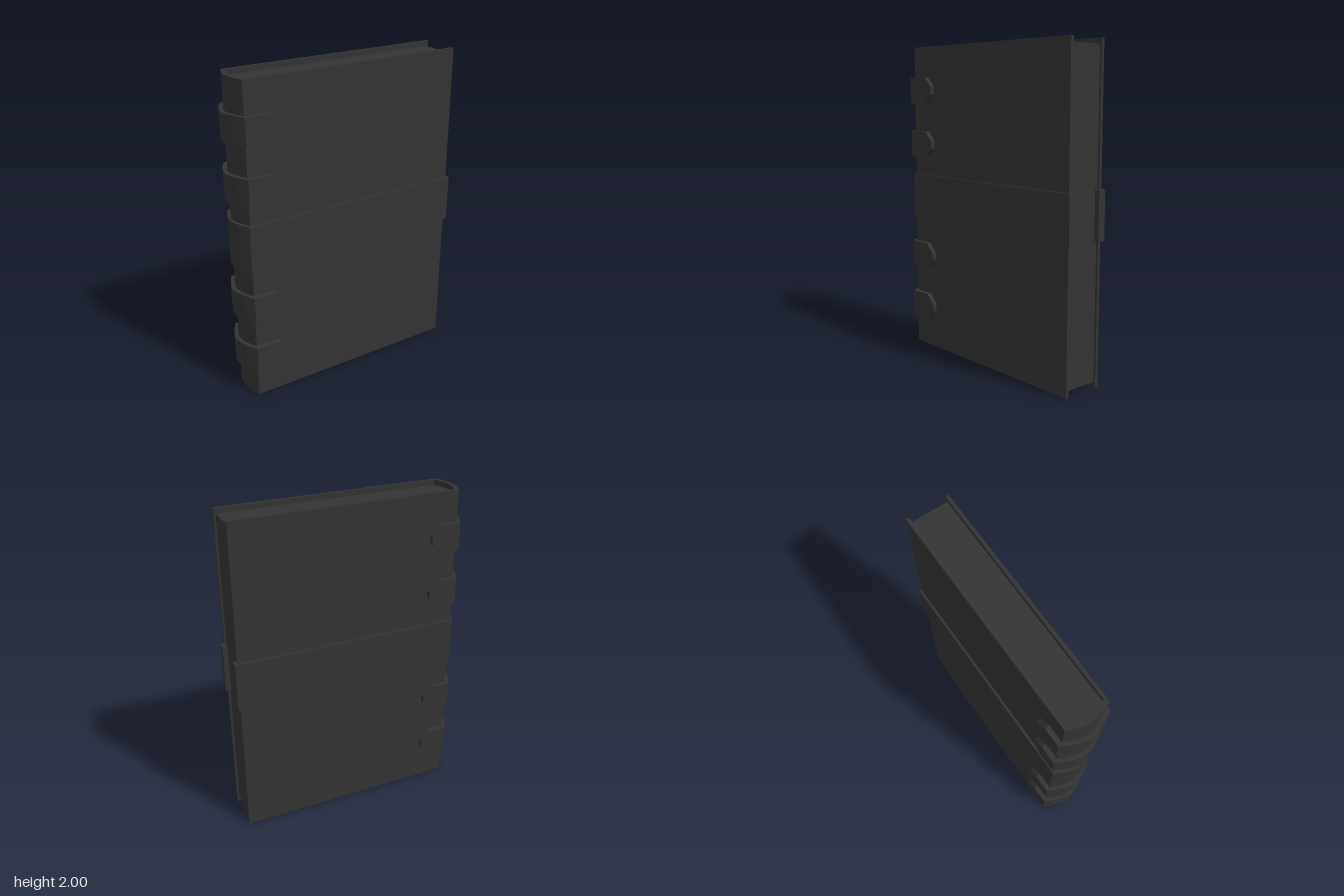
import * as THREE from 'three';
import { toCreasedNormals } from 'three/addons/utils/BufferGeometryUtils.js';

const material = new THREE.MeshStandardMaterial({ color: 0x333333 });

// Turns half a profile [x, z], from the front edge to the spine apex (z = 0), into a full one
const mirrorZ = (half) => [...half, ...half.slice(0, -1).reverse().map(([x, z]) => [x, -z])];

// Plan outline [x, z] raised from y0 to y1
function upright(name, outline, y0, y1) {
  const shape = new THREE.Shape(outline.map(([x, z]) => new THREE.Vector2(x, -z)));
  const geometry = new THREE.ExtrudeGeometry(shape, { depth: y1 - y0, bevelEnabled: false });
  geometry.rotateX(-Math.PI / 2).translate(0, y0, 0);
  const mesh = new THREE.Mesh(toCreasedNormals(geometry, 0.45), material);
  mesh.name = name;
  return mesh;
}

// U-shaped shell between an outer and an inner half profile
const shell = (name, outer, inner, y0, y1) =>
  upright(name, [...mirrorZ(outer), ...mirrorZ(inner).reverse()], y0, y1);

// Pointed leather flap lying on one cover
function flap(name, shoulder, tip, y0, y1, z) {
  const mid = (y0 + y1) / 2;
  const shape = new THREE.Shape([
    [-0.683, y0], [shoulder, y0], [tip, mid - 0.025],
    [tip, mid + 0.025], [shoulder, y1], [-0.683, y1],
  ].map(([x, y]) => new THREE.Vector2(x, y)));
  const geometry = new THREE.ExtrudeGeometry(shape, { depth: 0.03, bevelEnabled: false });
  const mesh = new THREE.Mesh(geometry.translate(0, 0, z), material);
  mesh.name = name;
  return mesh;
}

export function createModel() {
  const book = new THREE.Group();
  book.name = 'book';

  // Cover boards and rounded spine
  book.add(shell('cover',
    [[0.725, 0.133], [-0.675, 0.133], [-0.694, 0.088], [-0.706, 0.044], [-0.71, 0]],
    [[0.725, 0.113], [-0.655, 0.113], [-0.672, 0.075], [-0.682, 0.037], [-0.686, 0]], 0, 2));

  // Page block, set back from the cover edges
  book.add(upright('pages', mirrorZ(
    [[0.712, 0.114], [-0.655, 0.114], [-0.672, 0.075], [-0.682, 0.037], [-0.686, 0]]), 0.035, 1.967));

  // Wide band round the spine, hooked over the fore edges of the cover
  book.add(shell('band',
    [[0.712, 0.096], [0.742, 0.096], [0.742, 0.147], [-0.683, 0.147], [-0.709, 0.1], [-0.729, 0.05], [-0.738, 0]],
    [[0.712, 0.113], [0.725, 0.113], [0.725, 0.133], [-0.675, 0.133], [-0.694, 0.09], [-0.712, 0.046], [-0.721, 0]],
    0.87, 1.165));

  // Raised spine straps with pointed ends
  for (const y of [0.19, 0.54, 1.285, 1.635]) {
    const strap = new THREE.Group();
    strap.name = 'strap';
    const top = y + 0.17;
    strap.add(
      shell('strapSpine',
        [[-0.683, 0.162], [-0.711, 0.112], [-0.736, 0.056], [-0.748, 0]],
        [[-0.675, 0.132], [-0.69, 0.104], [-0.712, 0.05], [-0.722, 0]], y, top),
      flap('frontFlap', -0.53, -0.467, y, top, 0.132),
      flap('backFlap', -0.57, -0.5, y, top, -0.162));
    book.add(strap);
  }
  return book;
}
